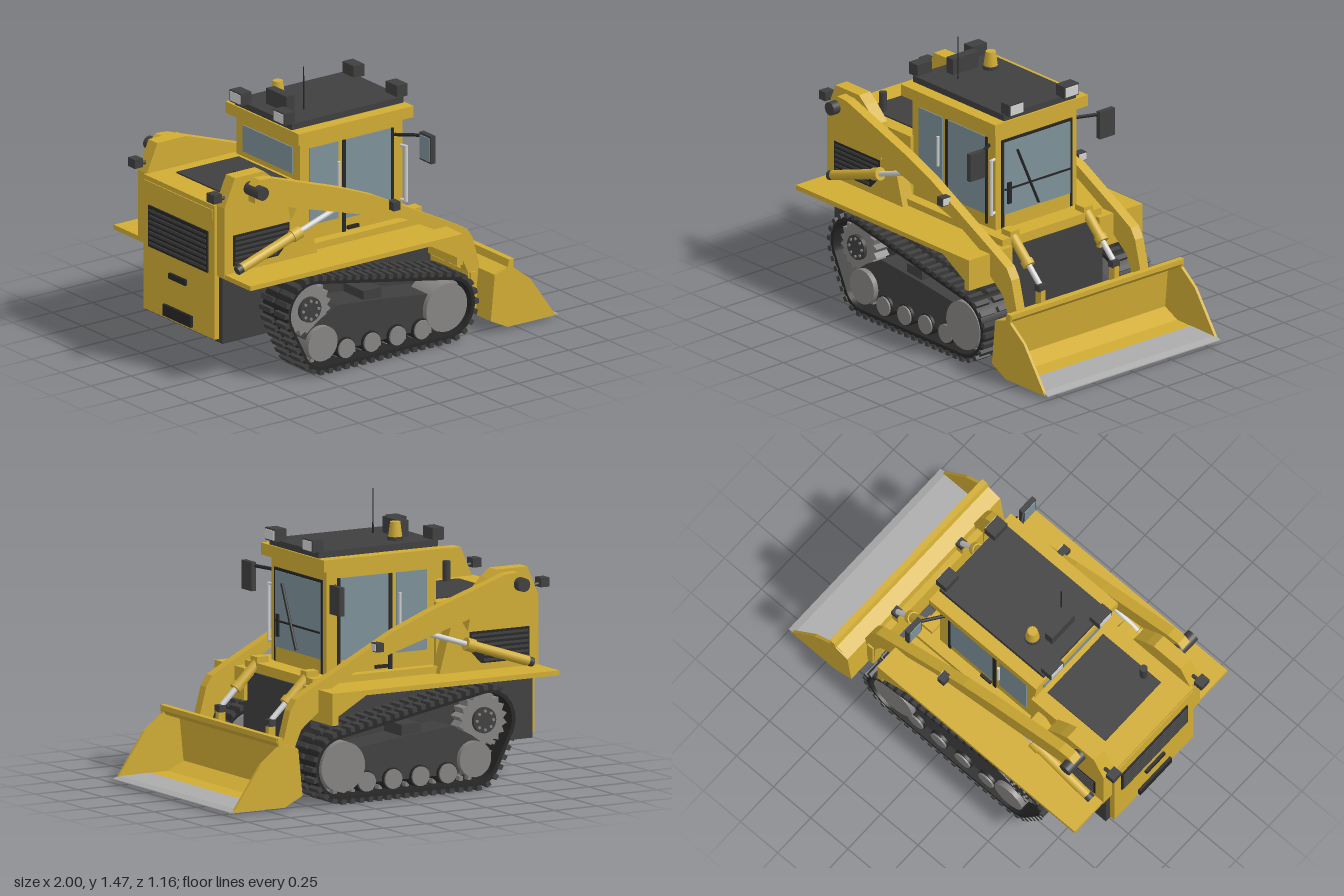
import * as THREE from 'three';
import { mergeGeometries } from 'three/addons/utils/BufferGeometryUtils.js';

const material = (name, color) => {
  const m = new THREE.MeshStandardMaterial({ color });
  m.name = name;
  return m;
};
const YELLOW = material('yellow paint', 0xd0ac34);
const DARK = material('dark grey', 0x3f3f3f);
const BLACK = material('black', 0x262626);
const STEEL = material('wheel grey', 0x868482);
const BLADE = material('blade grey', 0xababab);
const WHITE = material('light metal', 0xd2d2d2);
const GLASS = material('glass', 0x7d9199);

export function createModel() {
  const root = new THREE.Group();
  root.name = 'trackedDigger';

  const add = (name, geo, mat) => {
    const m = new THREE.Mesh(geo, mat);
    m.name = name;
    root.add(m);
    return m;
  };
  // box from its minimum and maximum limits on each axis
  const boxGeo = (x0, x1, y0, y1, z0, z1) =>
    new THREE.BoxGeometry(x1 - x0, y1 - y0, Math.abs(z1 - z0))
      .translate((x0 + x1) / 2, (y0 + y1) / 2, (z0 + z1) / 2);
  const box = (name, mat, ...lim) => add(name, boxGeo(...lim), mat);
  // side profile in x, y extruded across z
  const plateGeo = (pts, z0, z1, hole) => {
    const v = (list) => list.map(([x, y]) => new THREE.Vector2(x, y));
    const shape = new THREE.Shape(v(pts));
    if (hole) shape.holes.push(new THREE.Path(v(hole)));
    return new THREE.ExtrudeGeometry(shape, { depth: Math.abs(z1 - z0), bevelEnabled: false })
      .translate(0, 0, Math.min(z0, z1));
  };
  const plate = (name, mat, pts, z0, z1, hole) => add(name, plateGeo(pts, z0, z1, hole), mat);
  // round bar between two points
  const rod = (name, mat, a, b, r, r2 = r, seg = 16) => {
    const p = new THREE.Vector3(...a), q = new THREE.Vector3(...b);
    const m = add(name, new THREE.CylinderGeometry(r2, r, p.distanceTo(q), seg), mat);
    m.position.copy(p).add(q).multiplyScalar(0.5);
    m.quaternion.setFromUnitVectors(new THREE.Vector3(0, 1, 0), q.sub(p).normalize());
    return m;
  };
  const wheel = (name, mat, x, y, z0, z1, r, seg = 32) => rod(name, mat, [x, y, z0], [x, y, z1], r, r, seg);

  // outline of a belt stretched around the three large wheels
  const pulleys = [[-0.52, 0.35, 0.165], [0.32, 0.19, 0.17], [-0.455, 0.16, 0.14]];
  const beltOutline = (offset) => {
    const pts = [];
    for (let i = 0; i < 96; i++) {
      const a = (i / 96) * Math.PI * 2, c = Math.cos(a), s = Math.sin(a);
      const reach = ([x, y, r]) => x * c + y * s + r;
      const [x, y, r] = pulleys.reduce((best, p) => (reach(p) > reach(best) ? p : best));
      pts.push([x + (r + offset) * c, y + (r + offset) * s]);
    }
    return pts;
  };

  // hull, deck and engine body
  box('hull', DARK, -0.92, 0.38, 0.195, 0.56, -0.33, 0.33);
  box('engineBody', YELLOW, -0.93, -0.38, 0.56, 0.93, -0.29, 0.29);
  box('rearDoor', YELLOW, -0.95, -0.92, 0.215, 0.93, -0.3, 0.3);
  box('hoodPanel', DARK, -0.81, -0.42, 0.93, 0.938, -0.21, 0.21);
  rod('exhaust', DARK, [-0.72, 0.93, 0.18], [-0.72, 1.04, 0.18], 0.02);
  box('rearGrille', BLACK, -0.958, -0.949, 0.56, 0.78, -0.25, 0.25);
  for (let i = 0; i < 7; i++)
    box('rearSlat', DARK, -0.964, -0.957, 0.575 + i * 0.029, 0.588 + i * 0.029, -0.24, 0.24);
  box('rearHandle', BLACK, -0.965, -0.949, 0.44, 0.47, -0.07, 0.07);
  box('rearHitch', BLACK, -0.965, -0.949, 0.23, 0.29, -0.12, 0.12);
  box('rearTrim', YELLOW, -0.955, -0.94, 0.855, 0.905, -0.29, 0.29);
  box('frontDeck', YELLOW, -0.4, 0.37, 0.555, 0.61, -0.33, 0.33);

  // cab
  box('cab', YELLOW, -0.39, 0.25, 0.57, 1.145, -0.27, 0.27);
  box('cabRoof', YELLOW, -0.43, 0.29, 1.145, 1.205, -0.31, 0.31);
  box('roofPlate', DARK, -0.42, 0.28, 1.205, 1.238, -0.24, 0.24);
  box('windshieldFrame', BLACK, 0.249, 0.256, 0.59, 1.09, -0.235, 0.235);
  box('windshieldSill', YELLOW, 0.252, 0.259, 0.59, 0.685, -0.218, 0.218);
  box('windshield', GLASS, 0.252, 0.26, 0.685, 1.075, -0.22, 0.22);
  box('windshieldBar', BLACK, 0.258, 0.264, 0.815, 0.825, -0.22, 0.22);
  rod('wiper', BLACK, [0.268, 1.02, 0.14], [0.268, 0.7, 0], 0.008, 0.008, 6);
  box('wiperMotor', BLACK, 0.258, 0.268, 0.74, 0.855, 0.178, 0.202);
  box('rearWindow', GLASS, -0.397, -0.389, 0.96, 1.1, -0.21, 0.21);
  rod('frontHandrail', WHITE, [0.25, 0.7, 0.3], [0.25, 1.0, 0.3], 0.009);
  for (const y of [0.705, 0.995]) rod('handrailMount', WHITE, [0.25, y, 0.3], [0.24, y, 0.265], 0.008);

  // roof equipment
  box('roofUnit', DARK, -0.34, -0.29, 1.238, 1.322, -0.085, 0.085);
  rod('beaconBase', DARK, [-0.24, 1.236, -0.122], [-0.24, 1.255, -0.122], 0.042);
  rod('beacon', YELLOW, [-0.24, 1.255, -0.122], [-0.24, 1.33, -0.122], 0.036, 0.026);
  rod('antenna', BLACK, [-0.24, 1.236, 0.096], [-0.24, 1.466, 0.096], 0.004, 0.003, 6);

  for (const s of [1, -1]) {
    // fender
    plate('fender', YELLOW, [[-0.93, 0.55], [0.2, 0.55], [0.365, 0.455], [0.365, 0.41],
      [0.4, 0.41], [0.4, 0.575], [-0.93, 0.575]], s * 0.29, s * 0.578);

    // rear tower, brace and side grille
    plate('armTower', YELLOW, [[-0.935, 0.56], [-0.35, 0.56], [-0.43, 0.84], [-0.48, 0.84], [-0.52, 0.78],
      [-0.56, 0.96], [-0.64, 1.04], [-0.69, 1.08], [-0.87, 1.08], [-0.935, 0.93]], s * 0.29, s * 0.365);
    plate('sideGrille', BLACK, [[-0.88, 0.61], [-0.6, 0.61], [-0.53, 0.68], [-0.53, 0.775], [-0.88, 0.775]],
      s * 0.365, s * 0.368);
    for (let i = 0; i < 6; i++)
      box('sideSlat', DARK, -0.87, i < 2 ? -0.61 : -0.54, 0.62 + i * 0.026, 0.632 + i * 0.026, s * 0.366, s * 0.373);
    box('rearLight', DARK, -1, -0.95, 0.965, 1.012, s * 0.303, s * 0.363);
    rod('rearLightStem', DARK, [-0.955, 0.98, s * 0.333], [-0.89, 0.97, s * 0.333], 0.01);

    // lift arm with pivot and work lamp
    plate('liftArm', YELLOW, [[-0.8, 0.95], [-0.28, 0.795], [0.13, 0.675], [0.39, 0.54], [0.4, 0.46], [0.5, 0.38],
      [0.535, 0.3], [0.545, 0.07], [0.57, 0.07], [0.6, 0.21], [0.605, 0.33], [0.565, 0.48], [0.53, 0.535],
      [0.42, 0.595], [-0.05, 0.835], [-0.25, 0.915], [-0.7, 1.065], [-0.77, 1.07], [-0.8, 1.04]], s * 0.385, s * 0.44);
    wheel('armPivot', DARK, -0.78, 1.01, s * 0.33, s * 0.485, 0.035, 24);
    box('armLamp', DARK, 0.04, 0.083, 0.742, 0.787, s * 0.425, s * 0.48);
    box('armLampLens', WHITE, 0.082, 0.087, 0.747, 0.782, s * 0.43, s * 0.475);

    // lift cylinder
    const lift = (t) => [-0.88 + 0.7 * t, 0.595 + 0.23 * t, s * 0.397];
    rod('liftCylinderEnd', DARK, lift(0), lift(0.06), 0.024);
    rod('liftCylinder', YELLOW, lift(0.04), lift(0.55), 0.026);
    rod('liftCylinderCollar', YELLOW, lift(0.49), lift(0.56), 0.034);
    rod('liftRod', WHITE, lift(0.55), lift(1), 0.014);

    // bucket tilt cylinder
    const tilt = (t) => [0.34 + 0.23 * t, 0.615 - 0.22 * t, s * 0.245];
    rod('tiltCylinder', YELLOW, tilt(0), tilt(0.58), 0.026);
    rod('tiltCollar', YELLOW, tilt(0.5), tilt(0.6), 0.033);
    rod('tiltRod', WHITE, tilt(0.58), tilt(0.95), 0.015);
    box('tiltPin', DARK, 0.545, 0.585, 0.375, 0.41, s * 0.222, s * 0.268);
    box('tiltBracket', YELLOW, 0.3, 0.37, 0.6, 0.64, s * 0.215, s * 0.275);
    box('couplerLug', YELLOW, 0.545, 0.585, 0.28, 0.38, s * 0.23, s * 0.26);
    box('deckLatch', BLACK, 0.36, 0.385, 0.52, 0.532, s * 0.27, s * 0.31);

    // cab side glazing and door details
    box('rearSideWindow', GLASS, -0.335, -0.155, 0.69, 1.1, s * 0.269, s * 0.276);
    box('doorWindow', GLASS, -0.11, 0.175, 0.68, 1.1, s * 0.269, s * 0.276);
    box('doorSeam', BLACK, -0.13, -0.11, 0.585, 1.1, s * 0.269, s * 0.278);
    box('doorFrontTrim', BLACK, 0.175, 0.19, 0.63, 1.1, s * 0.269, s * 0.278);
    box('doorLatch', BLACK, -0.1, -0.03, 0.62, 0.637, s * 0.269, s * 0.285);
    rod('sideHandrail', WHITE, [-0.165, 0.84, s * 0.295], [-0.165, 1.0, s * 0.295], 0.008);

    // mirror
    rod('mirrorStem', BLACK, [0.2, 1.06, s * 0.27], [0.285, 1.075, s * 0.4], 0.009, 0.009, 8);
    box('mirror', DARK, 0.273, 0.3, 0.945, 1.092, s * 0.383, s * 0.482);
    box('mirrorFace', GLASS, 0.268, 0.274, 0.955, 1.08, s * 0.392, s * 0.473);

    // roof lamps, front and rear
    for (const [x0, lens] of [[0.245, 0.312], [-0.46, -0.46]]) {
      box('roofLamp', DARK, x0, x0 + 0.066, 1.234, 1.298, s * 0.135, s * 0.232);
      box('roofLampLens', WHITE, lens - 0.003, lens + 0.003, 1.241, 1.291, s * 0.142, s * 0.225);
    }

    // track belt with cleats and inner guide lugs
    const outer = beltOutline(0);
    plate('trackBelt', BLACK, outer, s * 0.35, s * 0.56, beltOutline(-0.022));
    const loop = new THREE.Path().setFromPoints([...outer, outer[0]].map((p) => new THREE.Vector2(...p)));
    const cleats = [], lugs = [], count = 54;
    for (let i = 0; i < count; i++) {
      const p = loop.getPointAt(i / count), t = loop.getTangentAt(i / count);
      const put = (g) => g.rotateZ(Math.atan2(t.y, t.x)).translate(p.x, p.y, 0);
      cleats.push(put(boxGeo(-0.013, 0.013, -0.02, 0.005, s * 0.348, s * 0.445)));
      cleats.push(put(boxGeo(-0.013, 0.013, -0.02, 0.005, s * 0.475, s * 0.565)));
      lugs.push(put(boxGeo(-0.01, 0.01, 0.02, 0.045, s * 0.44, s * 0.475)));
    }
    add('trackCleats', mergeGeometries(cleats), DARK);
    add('trackLugs', mergeGeometries(lugs), STEEL);

    // track frame and wheels
    plate('trackFrame', DARK, [[-0.56, 0.2], [-0.36, 0.09], [0.25, 0.09], [0.38, 0.2], [0.25, 0.27], [-0.02, 0.305],
      [-0.34, 0.335], [-0.45, 0.28]], s * 0.33, s * 0.52);
    box('frameStep', DARK, -0.165, -0.05, 0.3, 0.365, s * 0.33, s * 0.5);
    wheel('frontIdler', STEEL, 0.32, 0.19, s * 0.38, s * 0.55, 0.128, 40);
    wheel('rearIdler', STEEL, -0.455, 0.16, s * 0.38, s * 0.55, 0.092);
    for (const x of [-0.3, -0.14, 0.02, 0.175]) {
      wheel('roller', STEEL, x, 0.1, s * 0.37, s * 0.545, 0.05, 24);
      wheel('rollerRim', BLACK, x, 0.1, s * 0.39, s * 0.535, 0.056, 24);
    }
    const teeth = [];
    for (let i = 0; i < 36; i++) {
      const a = (i / 36) * Math.PI * 2, r = i % 2 ? 0.142 : 0.118;
      teeth.push([-0.52 + r * Math.cos(a), 0.35 + r * Math.sin(a)]);
    }
    plate('sprocket', STEEL, teeth, s * 0.43, s * 0.515);
    wheel('sprocketHub', DARK, -0.52, 0.35, s * 0.33, s * 0.535, 0.066);
    for (let i = 0; i < 8; i++) {
      const a = (i / 8) * Math.PI * 2;
      wheel('hubBolt', STEEL, -0.52 + 0.048 * Math.cos(a), 0.35 + 0.048 * Math.sin(a), s * 0.53, s * 0.541, 0.008, 8);
    }

    // bucket side
    plate('bucketSide', YELLOW, [[0.575, 0.07], [0.68, 0.018], [0.98, 0.018], [0.97, 0.035], [0.82, 0.25], [0.715, 0.33],
      [0.72, 0.375], [0.69, 0.375], [0.68, 0.335], [0.6, 0.31]], s * 0.562, s * 0.578);
  }

  // bucket shell, cutting blade and coupler
  plate('bucketShell', YELLOW, [[0.575, 0.07], [0.68, 0.018], [0.8, 0.018], [0.8, 0.034], [0.685, 0.036], [0.592, 0.08],
    [0.615, 0.298], [0.69, 0.322], [0.722, 0.35], [0.722, 0.375], [0.69, 0.375], [0.68, 0.338], [0.6, 0.313]], -0.57, 0.57);
  plate('cuttingBlade', BLADE, [[0.79, 0.016], [1, 0.016], [1, 0.022], [0.96, 0.034], [0.79, 0.036]], -0.575, 0.575);
  box('coupler', YELLOW, 0.545, 0.583, 0.09, 0.3, -0.45, 0.45);

  return root;
}
